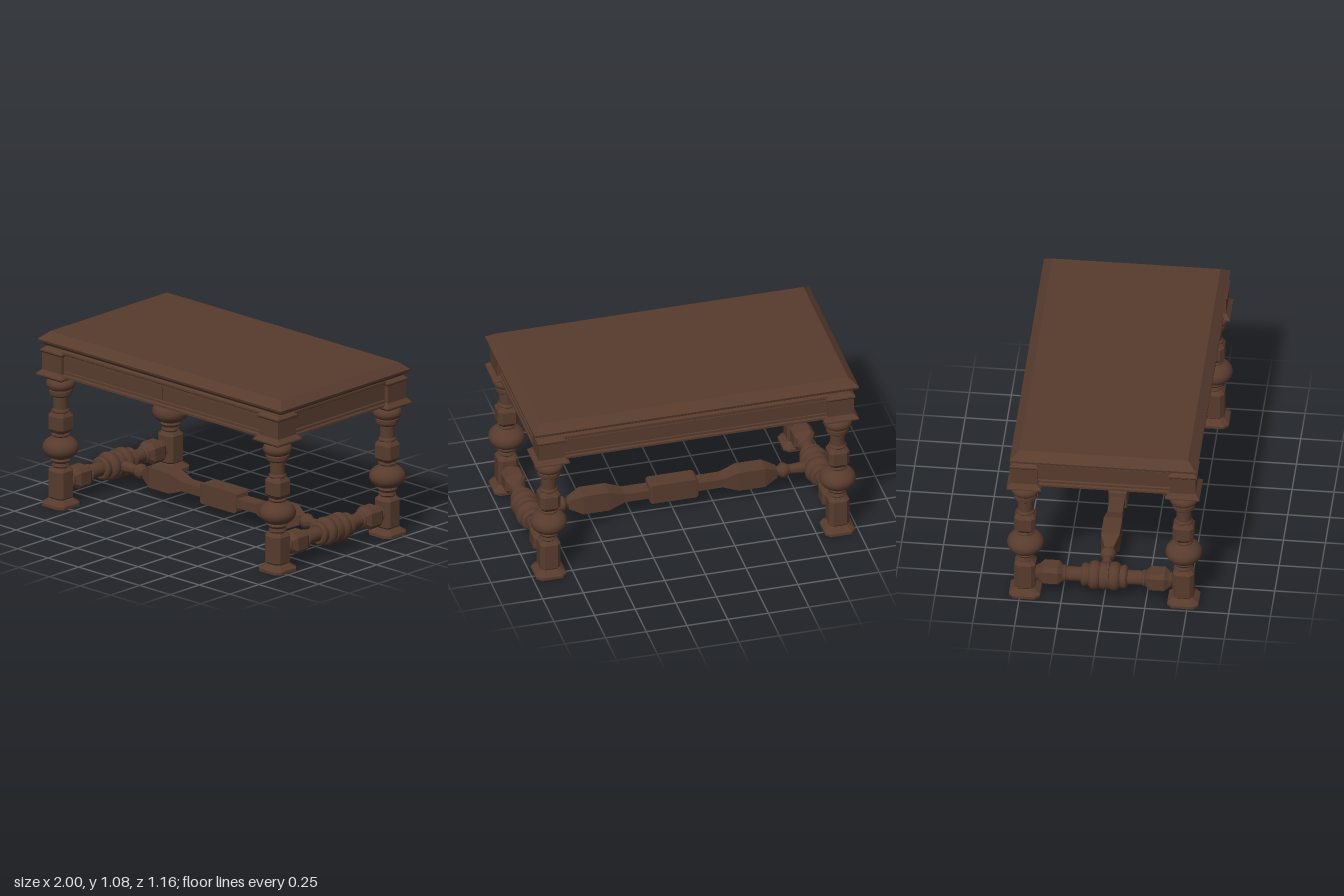
import * as THREE from 'three';
import { toCreasedNormals } from 'three/addons/utils/BufferGeometryUtils.js';

const wood = new THREE.MeshStandardMaterial({ color: 0x573b2d });
wood.name = 'dark oak';

const LEG_X = 0.888, LEG_Z = 0.472, RAIL_Y = 0.142;

function add(parent, name, geometry, x = 0, y = 0, z = 0) {
  const mesh = new THREE.Mesh(geometry, wood);
  mesh.name = name;
  mesh.position.set(x, y, z);
  parent.add(mesh);
  return mesh;
}

// Stack of rectangular sections with cut corners; each ring is [y, halfX, halfZ, cut]
function loft(rings) {
  const pos = [], idx = [];
  for (const [y, a, b, c] of rings) {
    const pts = c > 0
      ? [[a, b - c], [a - c, b], [c - a, b], [-a, b - c], [-a, c - b], [c - a, -b], [a - c, -b], [a, c - b]]
      : [[a, b], [-a, b], [-a, -b], [a, -b]];
    for (const [x, z] of pts) pos.push(x, y, z);
  }
  const n = pos.length / 3 / rings.length;
  for (let r = 0; r < rings.length - 1; r++) {
    for (let i = 0; i < n; i++) {
      const a = r * n + i, b = r * n + (i + 1) % n;
      idx.push(a, a + n, b + n, a, b + n, b);
    }
  }
  const top = (rings.length - 1) * n;
  for (let k = 1; k < n - 1; k++) idx.push(0, k, k + 1, top, top + k + 1, top + k);
  const g = new THREE.BufferGeometry();
  g.setAttribute('position', new THREE.Float32BufferAttribute(pos, 3));
  g.setIndex(idx);
  const flat = g.toNonIndexed();
  flat.computeVertexNormals();
  return flat;
}

// Square block with sloping shoulders and chamfered edges
function block(y0, y1, half, neck, slope, cut = 0.023) {
  return loft([
    [y0, neck, neck, cut * 0.8], [y0 + slope, half, half, cut],
    [y1 - slope, half, half, cut], [y1, neck, neck, cut * 0.8],
  ]);
}

// Round turning; points are [radius, y] from bottom to top
function turned(points) {
  const g = new THREE.LatheGeometry(points.map(([r, y]) => new THREE.Vector2(r, y)), 24);
  return toCreasedNormals(g, 0.6);
}

// Points of a rounded bulge between two radii; a higher power gives a more pointed belly
function bulge(y0, y1, rEnd, rMax, power = 0.6, n = 10) {
  return Array.from({ length: n + 1 }, (_, i) => {
    const t = (i / n) * 2 - 1;
    const s = Math.sign(t) * Math.pow(Math.abs(t), 0.75);
    return [rEnd + (rMax - rEnd) * Math.pow(1 - s * s, power), (y0 + y1) / 2 + s * (y1 - y0) / 2];
  });
}

function makeLeg() {
  const leg = new THREE.Group();
  leg.name = 'leg';
  add(leg, 'foot', loft([[0, 0.093, 0.093, 0.03], [0.017, 0.093, 0.093, 0.03], [0.024, 0.085, 0.085, 0.03], [0.046, 0.055, 0.055, 0.018]]));
  add(leg, 'lowerBlock', block(0.036, 0.238, 0.063, 0.045, 0.02));
  add(leg, 'lowerTurning', turned([
    [0.042, 0.225], [0.046, 0.243], [0.054, 0.25], [0.05, 0.26], [0.047, 0.268], [0.055, 0.275], [0.06, 0.285], [0.055, 0.296],
    ...bulge(0.297, 0.423, 0.054, 0.11, 0.75, 12),
    [0.05, 0.425], [0.046, 0.432], [0.055, 0.44], [0.055, 0.448], [0.046, 0.455], [0.042, 0.47],
  ]));
  add(leg, 'middleBlock', block(0.454, 0.587, 0.063, 0.045, 0.026));
  add(leg, 'upperTurning', turned([
    [0.042, 0.575], [0.053, 0.588], [0.053, 0.596], [0.045, 0.606], [0.045, 0.68], [0.058, 0.686], [0.068, 0.695], [0.07, 0.708], [0.07, 0.722],
    ...bulge(0.726, 0.792, 0.064, 0.088, 0.75),
    [0.07, 0.795], [0.076, 0.803], [0.076, 0.81],
  ]));
  add(leg, 'capital', loft([[0.797, 0.075, 0.075, 0], [0.815, 0.105, 0.103, 0], [0.823, 0.105, 0.103, 0], [0.848, 0.078, 0.078, 0]]));
  add(leg, 'cornerBlock', loft([
    [0.835, 0.079, 0.077, 0], [0.954, 0.079, 0.077, 0], [0.964, 0.088, 0.086, 0],
    [0.972, 0.088, 0.086, 0], [0.992, 0.062, 0.06, 0],
  ]));
  return leg;
}

// Half of a side stretcher, running outward along +y from its middle
function makeSideHalf() {
  const half = new THREE.Group();
  half.name = 'sideStretcherHalf';
  add(half, 'stretcherTurning', turned([
    [0.084, 0], [0.08, 0.027],
    ...bulge(0.028, 0.09, 0.072, 0.088, 0.65),
    [0.066, 0.094], [0.067, 0.102], [0.072, 0.112], [0.071, 0.128], [0.06, 0.137],
    [0.044, 0.138], [0.044, 0.225], [0.052, 0.232], [0.052, 0.24], [0.043, 0.25], [0.043, 0.27],
  ]));
  add(half, 'stretcherBlock', block(0.246, 0.39, 0.063, 0.042, 0.03));
  add(half, 'stretcherCollar', turned([[0.036, 0.38], [0.046, 0.39], [0.048, 0.398], [0.038, 0.407], [0.036, 0.425]]));
  return half;
}

// Half of the long stretcher, running outward along +y from its middle: [y, halfHeight, halfDepth, cut]
function makeLongHalf() {
  const half = new THREE.Group();
  half.name = 'longStretcherHalf';
  add(half, 'longStretcherBar', loft([
    [0, 0.063, 0.055, 0], [0.135, 0.063, 0.055, 0], [0.148, 0.052, 0.053, 0], [0.151, 0.028, 0.045, 0],
    [0.3, 0.028, 0.045, 0], [0.4, 0.063, 0.055, 0], [0.56, 0.063, 0.055, 0], [0.64, 0.028, 0.028, 0],
  ]));
  add(half, 'longStretcherEnd', turned([
    [0.026, 0.62], [0.028, 0.65], [0.046, 0.67], [0.046, 0.69], [0.027, 0.72], [0.034, 0.79], [0.034, 0.87],
  ]));
  return half;
}

// Moulded apron board, facing +x; x = 0 is its outer limit
function apron(length) {
  const profile = new THREE.Shape([
    [-0.05, 0.825], [0, 0.825], [0, 0.838], [-0.008, 0.846], [-0.008, 0.86], [-0.015, 0.866], [-0.015, 0.962],
    [-0.006, 0.966], [0.002, 0.972], [0.002, 0.985], [-0.01, 0.992], [-0.05, 0.992],
  ].map(([x, y]) => new THREE.Vector2(x, y)));
  return new THREE.ExtrudeGeometry(profile, { depth: length, bevelEnabled: false }).translate(0, 0, -length / 2);
}

export function createModel() {
  const table = new THREE.Group();
  table.name = 'table';

  // Top with sloping edge
  add(table, 'tableTop', loft([
    [0.99, 0.955, 0.513, 0], [1.018, 0.995, 0.552, 0],
    [1.032, 0.998, 0.556, 0], [1.078, 0.945, 0.502, 0],
  ]));

  // Four legs
  for (const x of [-LEG_X, LEG_X]) {
    for (const z of [-LEG_Z, LEG_Z]) {
      const leg = makeLeg();
      leg.position.set(x, 0, z);
      table.add(leg);
    }
  }

  for (const s of [1, -1]) {
    // Long aprons, each with two drawer fronts
    const long = new THREE.Group();
    long.name = s > 0 ? 'frontApron' : 'backApron';
    add(long, 'apronBoard', apron(1.69).rotateY(-Math.PI / 2), 0, 0, 0.535);
    for (const d of [-1, 1]) add(long, 'drawerFront', new THREE.BoxGeometry(0.806, 0.086, 0.008), d * 0.407, 0.91, 0.523);
    long.rotation.y = s > 0 ? 0 : Math.PI;
    table.add(long);

    // Short aprons
    const short = add(table, 'sideApron', apron(0.86), s * 0.952);
    short.rotation.y = s > 0 ? 0 : Math.PI;

    // Side stretchers
    for (const d of [-1, 1]) {
      const half = makeSideHalf();
      half.rotation.x = d * Math.PI / 2;
      half.position.set(s * LEG_X, RAIL_Y, 0);
      table.add(half);
    }

    // Long stretcher
    const bar = makeLongHalf();
    bar.rotation.z = -s * Math.PI / 2;
    bar.position.y = RAIL_Y;
    table.add(bar);
  }
  return table;
}
